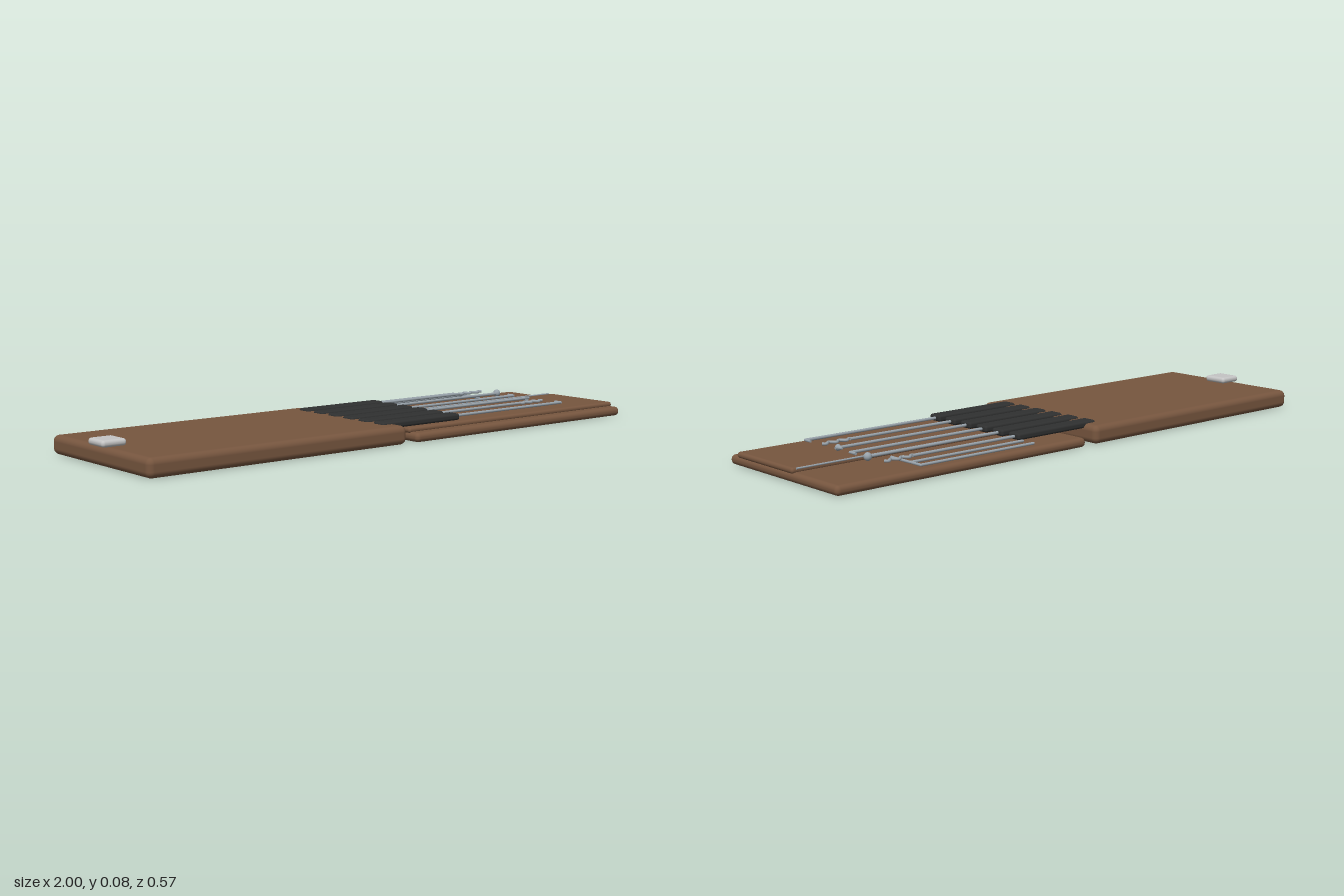
import * as THREE from 'three';
import { RoundedBoxGeometry } from 'three/addons/geometries/RoundedBoxGeometry.js';

const mat = (name, color) => {
  const m = new THREE.MeshStandardMaterial({ color });
  m.name = name;
  return m;
};

export function createModel() {
  const leather = mat('brown leather', 0x77563f);
  const grip = mat('black grip', 0x2f3030);
  const steel = mat('steel', 0x98a2aa);
  const clasp = mat('bright clasp metal', 0xc4c4c4);
  const group = new THREE.Group();

  const add = (name, geometry, material, parent = group) => {
    const mesh = new THREE.Mesh(geometry, material);
    mesh.name = name;
    parent.add(mesh);
    return mesh;
  };
  // Rounded slab given by its two corners
  const slab = (name, x0, x1, y0, y1, z0, z1, r, material, parent) => {
    const mesh = add(name, new RoundedBoxGeometry(x1 - x0, y1 - y0, z1 - z0, 4, r), material, parent);
    mesh.position.set((x0 + x1) / 2, (y0 + y1) / 2, (z0 + z1) / 2);
    return mesh;
  };
  // Straight round bar between two points
  const bar = (name, a, b, r, parent, r2 = r) => {
    const p = new THREE.Vector3(...a), q = new THREE.Vector3(...b);
    const d = q.clone().sub(p);
    const mesh = add(name, new THREE.CylinderGeometry(r2, r, d.length(), 10), steel, parent);
    mesh.position.copy(p).add(q).multiplyScalar(0.5);
    mesh.quaternion.setFromUnitVectors(new THREE.Vector3(0, 1, 0), d.normalize());
    return mesh;
  };

  // Folding case: thick cover, thin base, raised pocket and clasp
  slab('coverPanel', -0.99, -0.02, 0, 0.061, -0.28, 0.283, 0.02, leather);
  slab('basePanel', 0.022, 0.997, 0, 0.031, -0.281, 0.281, 0.0145, leather);
  slab('pocket', 0.022, 0.997, 0.026, 0.045, -0.057, 0.242, 0.0092, leather);
  slab('clasp', -1, -0.915, 0.061, 0.083, -0.042, 0.047, 0.0105, clasp);

  // Six tools with flat grips, slim shafts and different tips
  const tips = ['hook', 'rake', 'diamond', 'hook', 'ball', 'rake'];
  const y = 0.057, end = 0.777;
  tips.forEach((tip, i) => {
    const z = 0.198 - i * 0.079;
    const tool = new THREE.Group();
    tool.name = `${tip}Tool${i + 1}`;
    group.add(tool);
    slab('grip', -0.075, 0.262, 0.046, 0.068, z - 0.026, z + 0.026, 0.008, grip, tool);
    bar('shaft', [0.25, y, z - 0.004], [tip === 'rake' ? 0.665 : end, y, z - 0.004], 0.005, tool);
    if (tip === 'hook') {
      bar('hookTip', [end, y, z], [end, y, z - 0.03], 0.0045, tool);
    } else if (tip === 'ball') {
      add('ballTip', new THREE.SphereGeometry(0.013, 16, 12), steel, tool).position.set(0.775, y + 0.001, z - 0.008);
    } else if (tip === 'diamond') {
      bar('diamondTip', [0.765, y, z], [0.765, y, z - 0.022], 0.011, tool, 0.003);
    } else {
      // Wavy rake blade
      const points = [];
      for (let k = 0; k <= 24; k++) {
        points.push(new THREE.Vector3(0.655 + k * 0.0048, y, z - 0.005 + 0.008 * Math.sin(k * Math.PI / 4)));
      }
      add('rakeTip', new THREE.TubeGeometry(new THREE.CatmullRomCurve3(points), 48, 0.005, 8), steel, tool);
    }
  });

  // Bent tension bars lying along the back edge
  [[-0.279, -0.238], [-0.23, -0.137]].forEach(([z0, z1], i) => {
    const wrench = new THREE.Group();
    wrench.name = `tensionBar${i + 1}`;
    group.add(wrench);
    bar('longArm', [0.25, 0.046, z0], [0.696, 0.046, z0], 0.0045, wrench);
    bar('shortArm', [0.696, 0.046, z0], [0.696, 0.046, z1], 0.0045, wrench);
    add('bend', new THREE.SphereGeometry(0.0045, 10, 8), steel, wrench).position.set(0.696, 0.046, z0);
  });

  // Thin wire along the pocket edge
  bar('edgeWire', [0.26, 0.044, -0.064], [0.985, 0.044, -0.064], 0.003, group);
  return group;
}
